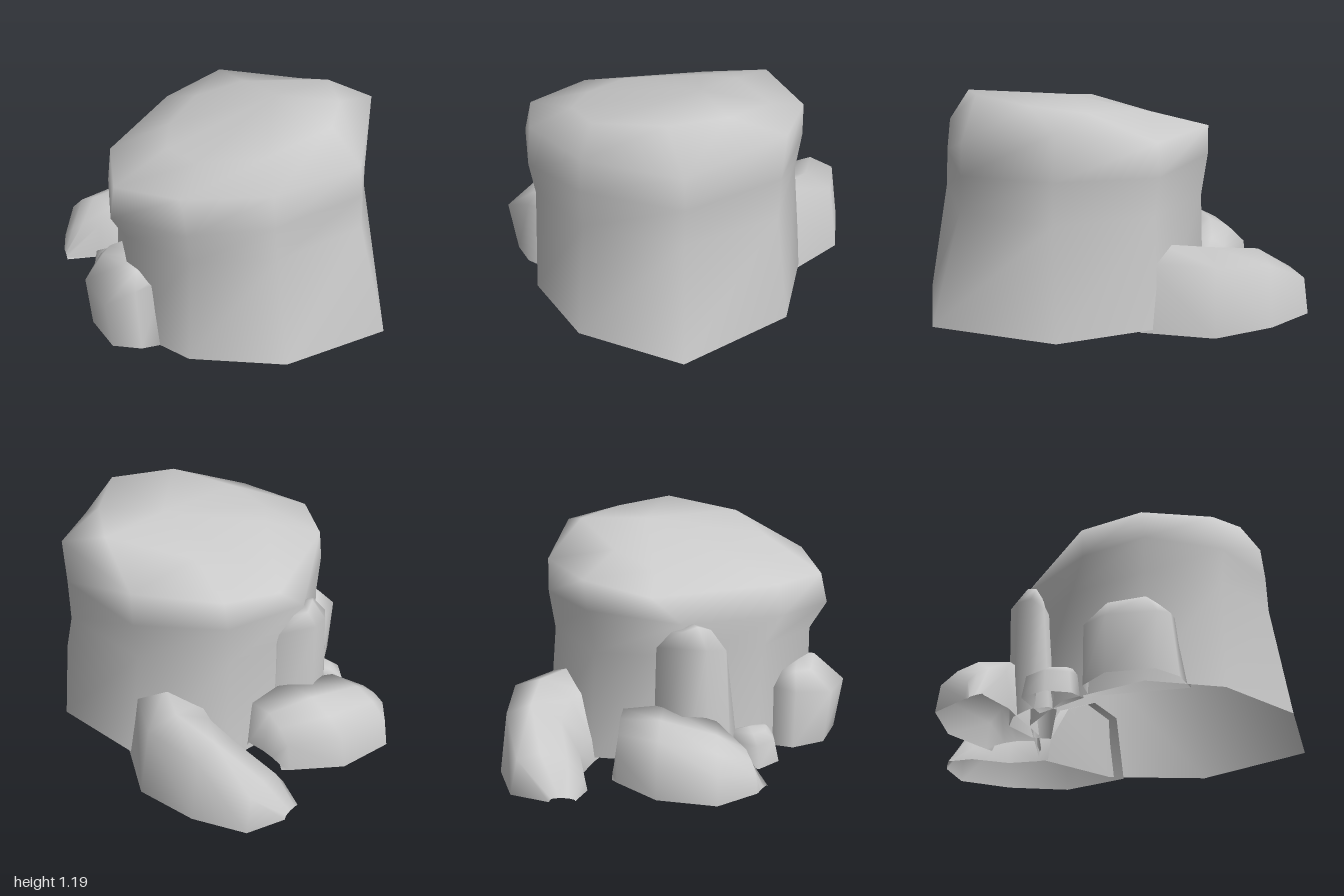
import * as THREE from 'three';

const material = new THREE.MeshStandardMaterial({ color: 0xcccccc, side: THREE.DoubleSide });

// Skin a stack of equal-length rings of [x, y, z]; closed rings wrap round, an apex closes the top.
function loft(name, rings, { closed = true, apex = null } = {}) {
  const n = rings[0].length;
  const points = rings.flat();
  const index = [];
  const sides = closed ? n : n - 1;
  for (let r = 0; r < rings.length - 1; r++) {
    for (let j = 0; j < sides; j++) {
      const a = r * n + j, b = r * n + (j + 1) % n;
      index.push(a, a + n, b, b, a + n, b + n);
    }
  }
  if (apex) {
    const top = (rings.length - 1) * n;
    for (let j = 0; j < sides; j++) index.push(top + j, points.length, top + (j + 1) % n);
    points.push(apex);
  }
  const g = new THREE.BufferGeometry();
  g.setAttribute('position', new THREE.Float32BufferAttribute(points.flat(), 3));
  g.setIndex(index);
  g.computeVertexNormals();
  const mesh = new THREE.Mesh(g, material);
  mesh.name = name;
  return mesh;
}

// Long boulder: arches [ax, az, bx, bz, height] from side a to side b, swept in order.
function ridge(name, arch, sections, y0) {
  return loft(name, sections.map(([ax, az, bx, bz, h]) =>
    arch.map(([t, k]) => [ax + (bx - ax) * t, y0 + h * k, az + (bz - az) * t])), { closed: false });
}

const atHeight = (y, outline) => outline.map(([x, z]) => [x, y, z]);

export function createModel() {
  const group = new THREE.Group();
  group.name = 'rockFormation';

  // Main rock: flared foot, waist, overhanging brow, sloping top
  const foot = atHeight(0.02, [[1, -0.32], [0.87, 0.27], [0.5, 0.62], [0.1, 0.7], [-0.3, 0.45],
    [-0.49, 0.1], [-0.47, -0.42], [-0.08, -0.73], [0.47, -0.75]]);
  const waist = atHeight(0.61, [[0.83, -0.28], [0.77, 0.26], [0.5, 0.6], [0.1, 0.7], [-0.27, 0.47],
    [-0.49, 0.1], [-0.46, -0.39], [-0.08, -0.68], [0.46, -0.68]]);
  const brow = [[0.82, 0.8, -0.28], [0.76, 0.8, 0.27], [0.51, 0.78, 0.63], [0.1, 0.76, 0.79],
    [-0.21, 0.77, 0.57], [-0.53, 0.8, 0.08], [-0.48, 0.84, -0.42], [-0.09, 0.82, -0.71], [0.46, 0.84, -0.69]];
  const rim = [[0.81, 0.97, -0.27], [0.74, 0.97, 0.27], [0.46, 0.97, 0.63], [0.09, 0.925, 0.755],
    [-0.22, 0.94, 0.54], [-0.51, 0.93, -0.08], [-0.47, 1.0, -0.44], [-0.08, 1.0, -0.71], [0.46, 1.09, -0.71]];
  const crown = [[0.7, 1.19, -0.16], [0.64, 1.13, 0.24], [0.36, 1.06, 0.43], [0.1, 1.03, 0.42],
    [-0.07, 1.05, 0.26], [-0.28, 1.015, -0.1], [-0.15, 1.08, -0.33], [0.25, 1.15, -0.59], [0.5, 1.17, -0.42]];
  group.add(loft('mainRock', [foot, waist, brow, rim, crown], { apex: [0.22, 1.17, -0.22] }));

  // Rounded boulder at the front, its back just inside the main rock
  group.add(loft('frontBoulder', [
    atHeight(0.02, [[0.33, 0.61], [0.27, 0.75], [0.15, 0.85], [-0.09, 0.8], [-0.2, 0.64], [-0.17, 0.5]]),
    [[0.27, 0.38, 0.6], [0.23, 0.36, 0.75], [0.16, 0.3, 0.895], [-0.09, 0.31, 0.835], [-0.2, 0.34, 0.65], [-0.17, 0.36, 0.5]],
    [[0.24, 0.4, 0.6], [0.17, 0.44, 0.69], [0.11, 0.46, 0.73], [-0.08, 0.43, 0.72], [-0.12, 0.43, 0.64], [-0.11, 0.43, 0.55]],
  ], { apex: [0.08, 0.465, 0.64] }));

  // Small pebble
  group.add(loft('pebble', [
    atHeight(0.02, [[-0.2, 0.48], [-0.26, 0.55], [-0.39, 0.575], [-0.51, 0.48], [-0.43, 0.27]]),
    atHeight(0.14, [[-0.22, 0.48], [-0.27, 0.53], [-0.39, 0.55], [-0.49, 0.47], [-0.43, 0.28]]),
    atHeight(0.18, [[-0.25, 0.47], [-0.29, 0.5], [-0.37, 0.5], [-0.42, 0.44], [-0.4, 0.3]]),
  ], { apex: [-0.33, 0.185, 0.41] }));

  // Tall narrow column leaning on the side
  group.add(loft('sideColumn', [
    atHeight(0.02, [[-0.34, 0.32], [-0.38, 0.36], [-0.48, 0.33], [-0.57, 0.22], [-0.6, 0.09], [-0.49, -0.08], [-0.39, -0.1]]),
    [[-0.39, 0.58, 0.25], [-0.42, 0.6, 0.3], [-0.49, 0.66, 0.3], [-0.57, 0.68, 0.21],
      [-0.615, 0.7, 0.09], [-0.49, 0.66, -0.06], [-0.4, 0.62, -0.06]],
    [[-0.42, 0.68, 0.17], [-0.43, 0.7, 0.2], [-0.47, 0.76, 0.22], [-0.52, 0.79, 0.16],
      [-0.56, 0.77, 0.08], [-0.5, 0.75, 0], [-0.44, 0.72, 0]],
  ], { apex: [-0.49, 0.8, 0.12] }));

  // Low broad boulder at the side, running back to front
  group.add(ridge('lowBoulder', [[0, 0], [0.05, 0.5], [0.25, 0.78], [0.5, 0.97], [0.9, 1], [1, 0]], [
    [-0.72, -0.26, -0.46, -0.27, 0.06],
    [-0.75, -0.23, -0.45, -0.24, 0.3],
    [-0.93, 0, -0.45, -0.02, 0.34],
    [-0.96, 0.31, -0.55, 0.26, 0.3],
    [-0.79, 0.49, -0.58, 0.36, 0.2],
    [-0.77, 0.5, -0.69, 0.54, 0.01],
  ], 0.01));

  // Curved tail sweeping round from the back, tapering to the ground
  group.add(ridge('curvedTail', [[0, 0], [0.1, 0.86], [0.4, 1], [0.75, 0.8], [0.97, 0.3], [1, 0]], [
    [0, -0.7, -0.42, -0.38, 0.42],
    [-0.33, -0.9, -0.48, -0.4, 0.42],
    [-0.67, -0.86, -0.64, -0.43, 0.38],
    [-0.94, -0.74, -0.84, -0.365, 0.22],
    [-1, -0.53, -0.97, -0.4, 0.02],
  ], 0));

  return group;
}
